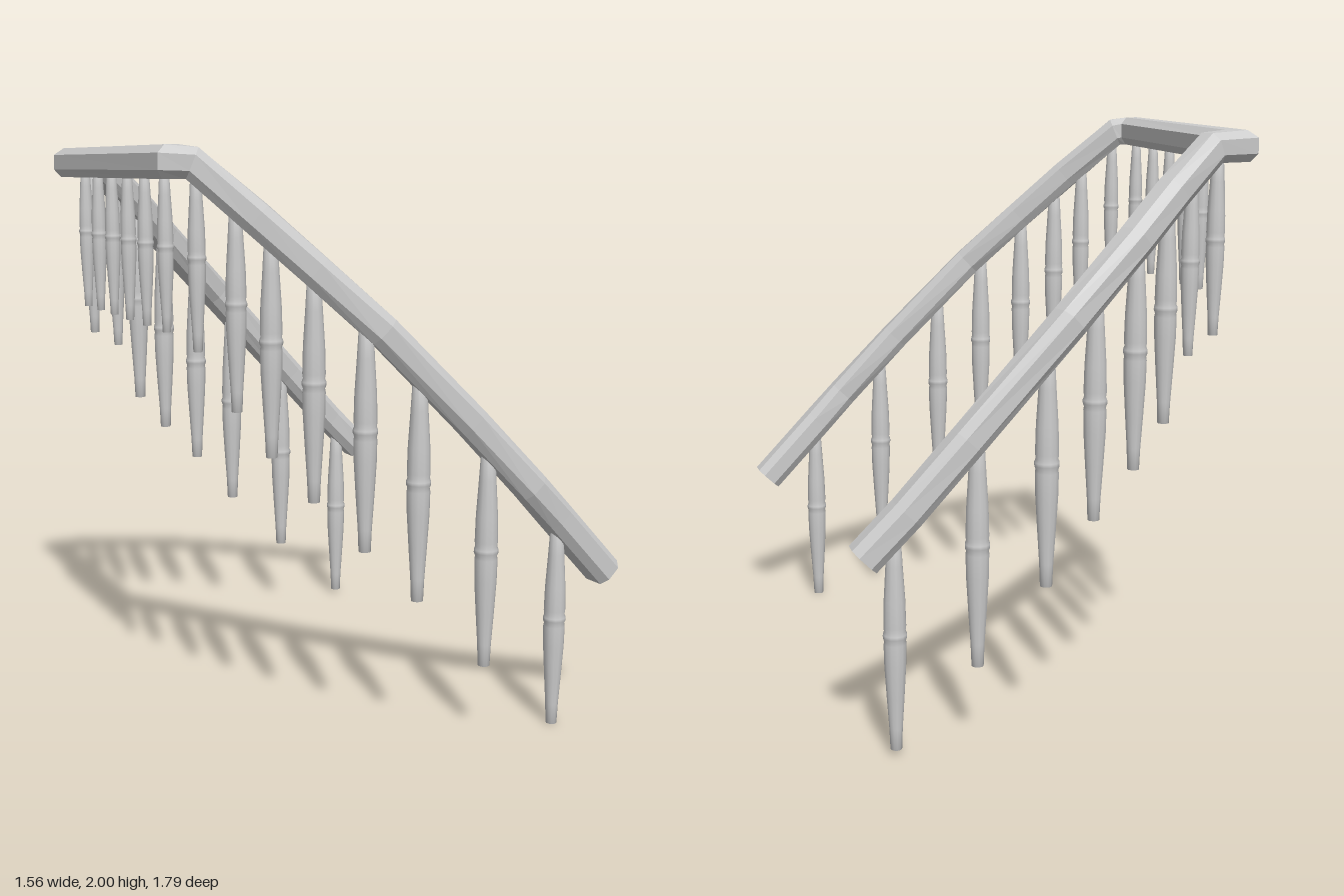
import * as THREE from 'three';

const material = new THREE.MeshStandardMaterial({ color: 0xcccccc, side: THREE.DoubleSide, flatShading: true });
const V = (x, y, z) => new THREE.Vector3(x, y, z);

// Handrail centre lines, from the upper corner down to the lower end
const frontPath = [
  V(-0.715, 1.945, 0.475), V(-0.65, 1.94, 0.49), V(-0.47, 1.77, 0.58), V(-0.3, 1.605, 0.655), V(-0.1, 1.41, 0.735),
  V(0.2, 1.1, 0.795), V(0.42, 0.865, 0.825), V(0.53, 0.75, 0.82), V(0.745, 0.525, 0.81),
];
const backPath = [
  V(-0.705, 1.92, -0.565), V(-0.61, 1.915, -0.58), V(-0.45, 1.775, -0.645), V(-0.3, 1.63, -0.71), V(-0.05, 1.385, -0.79),
  V(0.3, 1.02, -0.835), V(0.5, 0.805, -0.845), V(0.64, 0.665, -0.845),
];

// Chamfered rail section: [sideways, up]
const section = [
  [0.06, -0.025], [0.06, 0.028], [0.03, 0.053], [-0.03, 0.053],
  [-0.06, 0.028], [-0.06, -0.025], [-0.038, -0.053], [0.038, -0.053],
];

// Sweep the section along a path with mitred corners
function sweep(path) {
  const n = section.length, pos = [], index = [];
  const dirs = path.slice(1).map((p, i) => p.clone().sub(path[i]).normalize());
  const side = (d) => V(-d.z, 0, d.x).normalize();
  path.forEach((p, i) => {
    const d0 = dirs[Math.max(i - 1, 0)], d1 = dirs[Math.min(i, dirs.length - 1)];
    const s0 = side(d0), s1 = side(d1);
    const mitre = s0.clone().add(s1).divideScalar(1 + s0.dot(s1));
    const up = mitre.clone().cross(d0.clone().add(d1)).normalize();
    for (const [a, b] of section) {
      const q = p.clone().addScaledVector(mitre, a).addScaledVector(up, b);
      pos.push(q.x, q.y, q.z);
    }
  });
  for (let i = 0; i < path.length - 1; i++) {
    for (let j = 0; j < n; j++) {
      const a = i * n + j, b = i * n + (j + 1) % n;
      index.push(a, a + n, b, b, a + n, b + n);
    }
  }
  const last = (path.length - 1) * n;
  for (let j = 1; j < n - 1; j++) {
    index.push(0, j, j + 1, last, last + j + 1, last + j);
  }
  const g = new THREE.BufferGeometry();
  g.setAttribute('position', new THREE.Float32BufferAttribute(pos, 3));
  g.setIndex(index);
  const flat = g.toNonIndexed();
  flat.computeVertexNormals();
  return flat;
}

// Turned baluster of unit height with a bead at the middle
const profile = [
  [0, 0], [0.027, 0], [0.031, 0.1], [0.041, 0.25], [0.05, 0.4], [0.052, 0.5], [0.049, 0.515], [0.055, 0.53],
  [0.055, 0.545], [0.049, 0.56], [0.052, 0.58], [0.049, 0.7], [0.039, 0.86], [0.031, 1], [0, 1],
].map(([r, y]) => new THREE.Vector2(r, y));
const balusterGeometry = new THREE.LatheGeometry(profile, 12);
const balusterMaterial = new THREE.MeshStandardMaterial({ color: 0xcccccc });

function baluster(x, z, bottom, top) {
  const m = new THREE.Mesh(balusterGeometry, balusterMaterial);
  m.name = 'baluster';
  m.position.set(x, bottom, z);
  m.scale.setScalar(top - bottom);
  return m;
}

// Point on a side rail at a given x
function railAt(path, x) {
  let i = 0;
  while (i < path.length - 2 && path[i + 1].x < x) i++;
  const t = (x - path[i].x) / (path[i + 1].x - path[i].x);
  return path[i].clone().lerp(path[i + 1], t);
}

export function createModel() {
  const model = new THREE.Group();
  model.name = 'stairRailing';

  const rail = new THREE.Mesh(sweep([...frontPath].reverse().concat(backPath)), material);
  rail.name = 'handrail';
  model.add(rail);

  // Stair balusters on both sides: [x, bottom height]
  const sides = {
    frontBalusters: [frontPath, [[-0.64, 1.345], [-0.53, 1.15], [-0.43, 1], [-0.305, 0.85], [-0.15, 0.68],
      [0.025, 0.5], [0.265, 0.25], [0.54, 0]]],
    backBalusters: [backPath, [[-0.635, 1.28], [-0.53, 1.22], [-0.43, 1], [-0.305, 0.86], [-0.15, 0.71],
      [0.025, 0.51], [0.265, 0.27], [0.54, 0.02]]],
  };
  for (const [name, [path, spots]] of Object.entries(sides)) {
    const group = new THREE.Group();
    group.name = name;
    for (const [x, bottom] of spots) {
      const p = railAt(path, x);
      group.add(baluster(x, p.z, bottom, p.y - 0.03));
    }
    model.add(group);
  }

  // Landing balusters under the level rail
  const landing = new THREE.Group();
  landing.name = 'landingBalusters';
  for (const z of [0.39, 0.205, 0.035, -0.13, -0.28, -0.425]) {
    landing.add(baluster(-0.705, z, 1.4, 1.91));
  }
  model.add(landing);
  return model;
}
